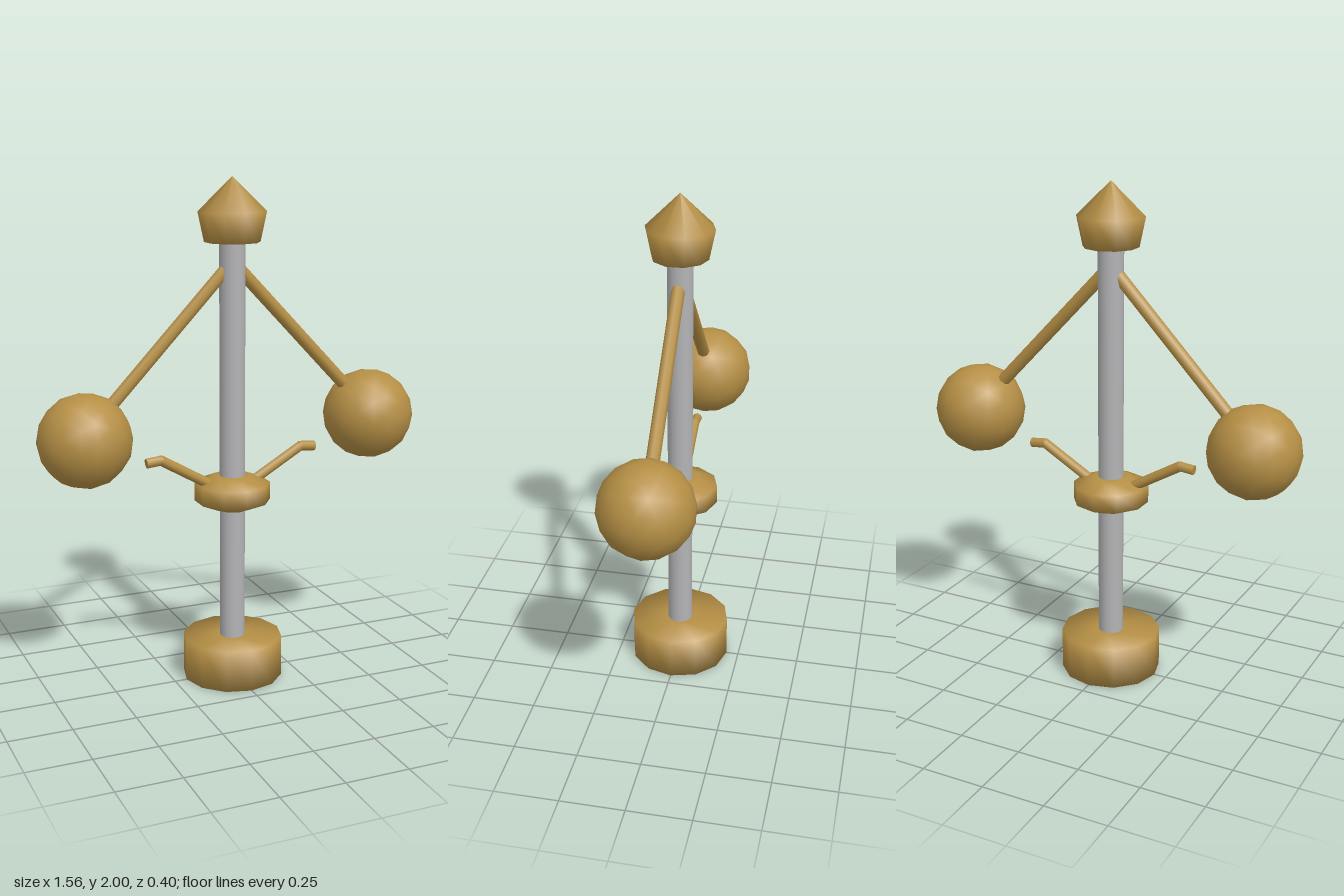
import * as THREE from 'three';

export function createModel() {
  const model = new THREE.Group();
  model.name = 'flyballGovernor';

  const brass = new THREE.MeshStandardMaterial({ color: 0xb58f45 });
  brass.name = 'brass';
  const steel = new THREE.MeshStandardMaterial({ color: 0xb4b4b6 });
  steel.name = 'steel';

  const add = (parent, name, geometry, material = brass) => {
    const mesh = new THREE.Mesh(geometry, material);
    mesh.name = name;
    parent.add(mesh);
    return mesh;
  };

  // Turned part from a [radius, height] profile, bottom to top
  const turned = (name, profile, sides) =>
    add(model, name, new THREE.LatheGeometry(profile.map(([r, y]) => new THREE.Vector2(r, y)), sides));

  // Straight round bar between two points in the z = 0 plane
  const rod = (parent, name, [x1, y1], [x2, y2], radius) => {
    const a = new THREE.Vector3(x1, y1, 0);
    const b = new THREE.Vector3(x2, y2, 0);
    const mesh = add(parent, name, new THREE.CylinderGeometry(radius, radius, a.distanceTo(b), 8));
    mesh.position.addVectors(a, b).multiplyScalar(0.5);
    mesh.quaternion.setFromUnitVectors(new THREE.Vector3(0, 1, 0), b.sub(a).normalize());
  };

  // Central spindle with its turned fittings
  const spindle = add(model, 'spindle', new THREE.CylinderGeometry(0.05, 0.05, 1.8, 16), steel);
  spindle.position.y = 0.9;
  turned('base', [[0.045, 0], [0.2, 0], [0.2, 0.168], [0.045, 0.168]], 12);
  turned('slidingCollar', [[0.045, 0.705], [0.075, 0.705], [0.15, 0.737], [0.15, 0.807], [0.075, 0.838], [0.045, 0.838]], 10);
  turned('finial', [[0.045, 1.755], [0.108, 1.755], [0.132, 1.87], [0, 2]], 10);

  // Matching weight, hanging arm and bent collar lever on each side
  for (const side of [1, -1]) {
    const half = new THREE.Group();
    half.name = side > 0 ? 'leftLinkage' : 'rightLinkage';
    model.add(half);

    rod(half, 'hangingArm', [side * 0.02, 1.66], [side * 0.486, 1.17], 0.026);
    const ball = add(half, 'flyball', new THREE.IcosahedronGeometry(0.182, 2));
    ball.position.set(side * 0.6, 1.036, 0);

    const bend = [side * 0.298, 0.928];
    rod(half, 'collarLever', [side * 0.07, 0.795], bend, 0.02);
    rod(half, 'leverTip', bend, [side * 0.358, 0.922], 0.02);
    const elbow = add(half, 'leverElbow', new THREE.SphereGeometry(0.02, 8, 6));
    elbow.position.set(...bend, 0);
  }

  return model;
}
